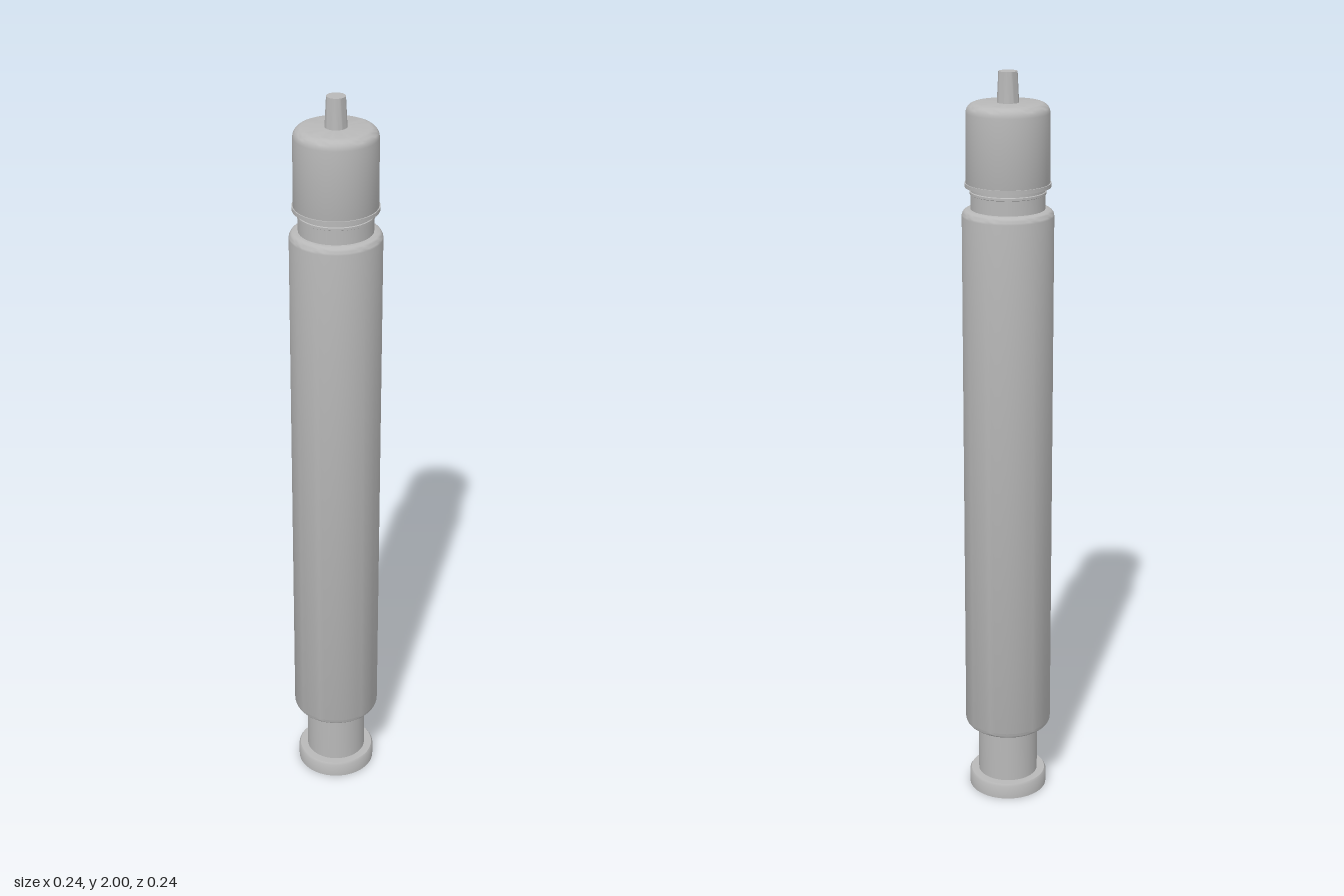
import * as THREE from 'three';
import { toCreasedNormals } from 'three/addons/utils/BufferGeometryUtils.js';

const grey = new THREE.MeshStandardMaterial({ color: 0xb8b8b8 });
grey.name = 'grey';

// Quarter-round points around (cx, cy), from angle a to angle b in degrees
function arc(cx, cy, r, a, b, n = 6) {
  return Array.from({ length: n + 1 }, (_, i) => {
    const t = THREE.MathUtils.degToRad(a + (b - a) * i / n);
    return [cx + r * Math.cos(t), cy + r * Math.sin(t)];
  });
}

// Turned part: [radius, height] profile from bottom to top, sharp only at hard corners
function turned(name, profile) {
  const points = profile.map(([r, y]) => new THREE.Vector2(r, y));
  const mesh = new THREE.Mesh(toCreasedNormals(new THREE.LatheGeometry(points, 48), 0.6), grey);
  mesh.name = name;
  return mesh;
}

export function createModel() {
  const model = new THREE.Group();
  model.name = 'cylinderWithPlunger';

  model.add(
    // Foot disc with a small bevel on its upper edge
    turned('plungerFoot', [[0, 0], [0.107, 0], [0.107, 0.038], [0.103, 0.044], [0, 0.044]]),
    turned('plungerStem', [[0.082, 0.04], [0.082, 0.2]]),

    // Long barrel with rounded ends
    turned('barrel', [
      [0, 0.192],
      ...arc(0.1, 0.21, 0.018, -90, 0),
      ...arc(0.1, 1.637, 0.018, 0, 90),
      [0, 1.655],
    ]),

    // Neck with a shallow retaining ring
    turned('neck', [[0.095, 1.65], [0.095, 1.73]]),
    turned('neckRing', [[0.094, 1.692], [0.0975, 1.694], [0.0975, 1.7], [0.094, 1.702]]),

    // Cap with a rounded shoulder and a lip at the lower rim
    turned('cap', [
      [0.09, 1.716], [0.105, 1.716], [0.107, 1.722],
      ...arc(0.081, 1.898, 0.025, 0, 90),
      [0, 1.923],
    ]),
    turned('capLip', [[0.095, 1.712], [0.11, 1.712], [0.11, 1.722], [0.105, 1.722]]),

    // Tapered nozzle
    turned('nozzle', [[0.028, 1.92], [0.024, 2], [0, 2]]),
  );
  return model;
}
